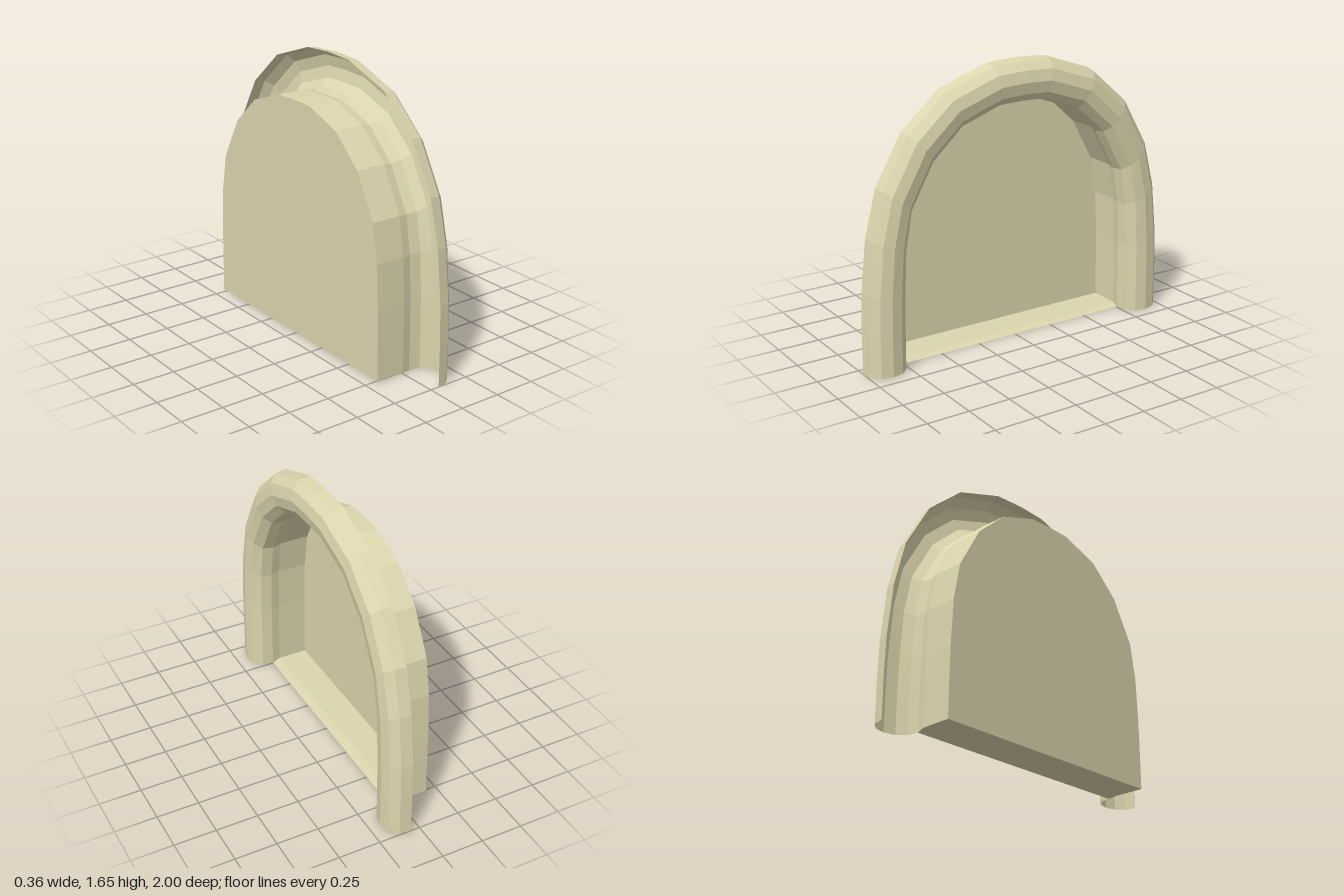
import * as THREE from 'three';

// Half arch stations from the ground to the crown: [inner z, inner y, outer z, outer y]
const HALF = [
  [0.755, 0, 1, 0], [0.753, 0.24, 1, 0.25], [0.75, 0.42, 0.993, 0.47],
  [0.738, 0.68, 0.96, 0.78], [0.7, 0.9, 0.89, 1.05], [0.562, 1.15, 0.73, 1.33],
  [0.378, 1.318, 0.495, 1.535], [0.14, 1.4, 0.19, 1.64], [0, 1.404, 0, 1.65],
];
const ARCH = [...HALF, ...HALF.slice(0, -1).reverse().map(([a, b, c, d]) => [-a, b, -c, d])];

// Sections: [x, blend from inner to outer arch, lowest y]
const WALL = [[-0.18, 0.05, 0.01], [0, 0.05, 0.01], [0.055, 0, 0]];
const TRIM = [[0.055, 0, 0], [0.12, 0.045, 0], [0.165, 0.23, 0], [0.18, 0.5, 0],
  [0.165, 0.77, 0], [0.12, 0.955, 0], [0.055, 1, 0]];

const ring = ([x, t, low]) => ARCH.map(([iz, iy, oz, oy]) => new THREE.Vector3(
  x, Math.max(low, iy + (oy - iy) * t), iz + (oz - iz) * t));

// Faceted strip of quads joining successive rows of points
function loft(rows) {
  const pts = [];
  for (let r = 0; r < rows.length - 1; r++) {
    for (let i = 0; i < rows[r].length - 1; i++) {
      const a = rows[r][i], b = rows[r + 1][i], c = rows[r + 1][i + 1], d = rows[r][i + 1];
      pts.push(a, d, b, b, d, c);
    }
  }
  const g = new THREE.BufferGeometry().setFromPoints(pts);
  g.computeVertexNormals();
  return g;
}

export function createModel() {
  const group = new THREE.Group();
  group.name = 'archedNiche';
  const material = new THREE.MeshStandardMaterial({
    color: 0xddd5ae, flatShading: true, side: THREE.DoubleSide,
  });
  const add = (name, geometry) => {
    const mesh = new THREE.Mesh(geometry, material);
    mesh.name = name;
    group.add(mesh);
  };

  const wallRings = WALL.map(ring);
  add('nicheWall', loft(wallRings));
  add('archTrim', loft(TRIM.map(ring)));

  // Floor with a small sloping lip at the opening
  add('floor', loft(wallRings.map((r) => [r[r.length - 1], r[0]])));

  // Flat back panel closing the niche
  const outline = wallRings[0].map((p) => new THREE.Vector2(-p.z, p.y));
  const panel = new THREE.ShapeGeometry(new THREE.Shape(outline));
  panel.rotateY(Math.PI / 2).translate(-0.18, 0, 0);
  add('backPanel', panel);

  return group;
}
